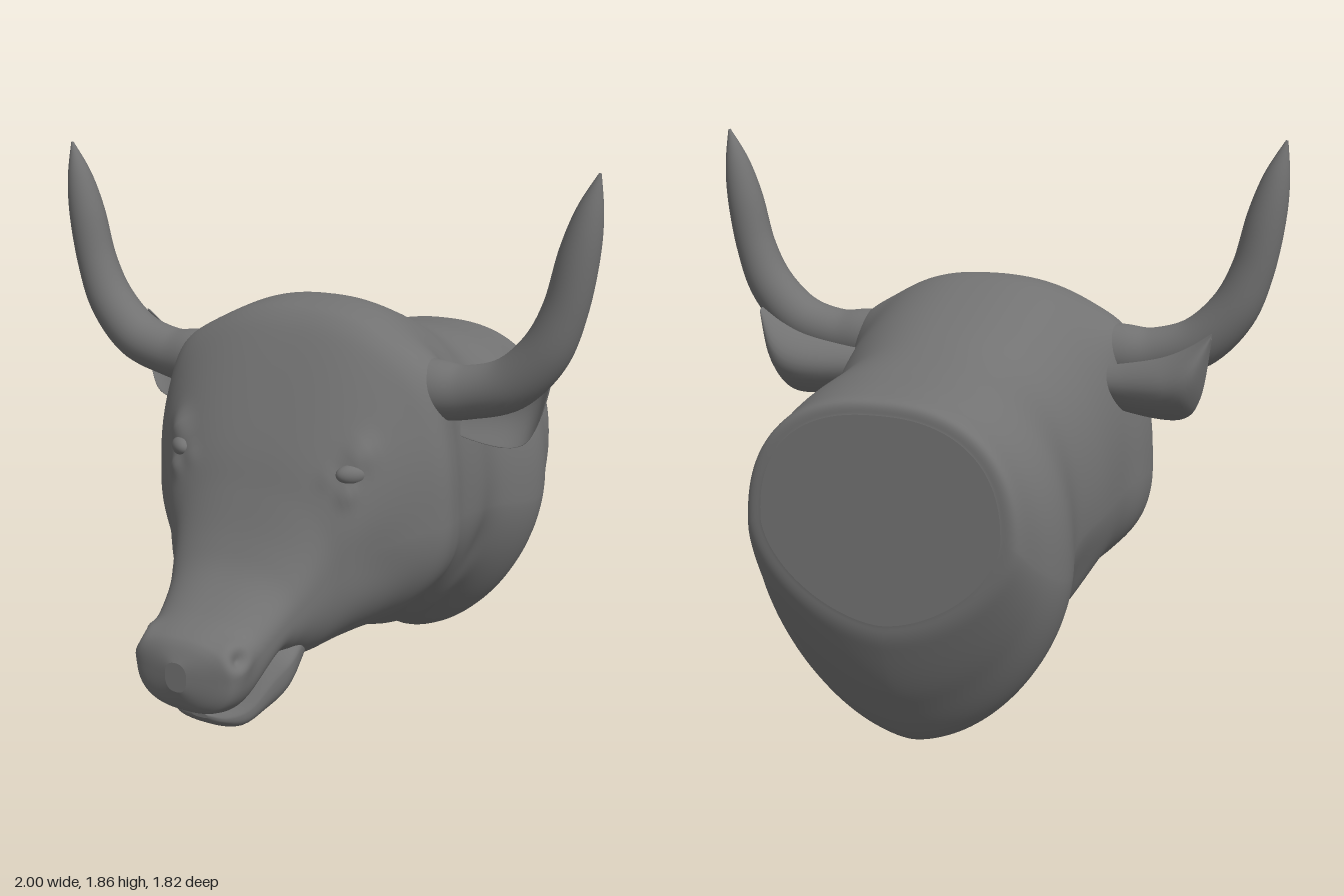
import * as THREE from 'three';

const material = new THREE.MeshStandardMaterial({ color: 0x727272 });

// Catmull-Rom blend of rows of numbers, returning a finer list of rows
function refine(rows, steps) {
  const out = [];
  const at = i => rows[Math.min(Math.max(i, 0), rows.length - 1)];
  for (let i = 0; i < rows.length - 1; i++) {
    for (let s = 0; s < steps; s++) {
      const t = s / steps;
      out.push(rows[i].map((b, k) => {
        const a = at(i - 1)[k], c = at(i + 1)[k], d = at(i + 2)[k];
        const m0 = (c - a) / 2, m1 = (d - b) / 2;
        return b + m0 * t + (3 * (c - b) - 2 * m0 - m1) * t * t + (2 * (b - c) + m0 + m1) * t * t * t;
      }));
    }
  }
  out.push(rows[rows.length - 1]);
  return out;
}

// Skin over closed rings (counterclockwise about the travel direction), with flat end caps
function loft(rings) {
  const n = rings[0].length, pos = [], index = [];
  rings.forEach(r => r.forEach(p => pos.push(p.x, p.y, p.z)));
  for (let i = 0; i < rings.length - 1; i++) {
    for (let j = 0; j < n; j++) {
      const a = i * n + j, b = i * n + (j + 1) % n;
      index.push(a, b, a + n, b, b + n, a + n);
    }
  }
  [rings[0], rings[rings.length - 1]].forEach((r, end) => {
    const start = pos.length / 3;
    const mid = r.reduce((s, p) => s.add(p), new THREE.Vector3()).divideScalar(n);
    [...r, mid].forEach(p => pos.push(p.x, p.y, p.z));
    for (let j = 0; j < n; j++) {
      const a = start + j, b = start + (j + 1) % n;
      index.push(start + n, end ? a : b, end ? b : a);
    }
  });
  const geo = new THREE.BufferGeometry();
  geo.setAttribute('position', new THREE.Float32BufferAttribute(pos, 3));
  geo.setIndex(index);
  geo.computeVertexNormals();
  return geo;
}

const mirrored = rings => rings.map(r => r.map(p => new THREE.Vector3(-p.x, p.y, p.z)).reverse());

// Section across z: squarer at the brow, tapering below the neck, full at the muzzle
function section([z, top, bottom, width, level], n) {
  const eTop = 2.4 + 0.6 * Math.exp(-(((z - 0.38) / 0.15) ** 2));
  const eBottom = 1.7 + 0.3 * THREE.MathUtils.smoothstep(z, -0.6, 0.2)
    + 0.5 * THREE.MathUtils.smoothstep(z, 0.35, 0.6);
  return Array.from({ length: n }, (_, j) => {
    const a = (j + 0.5) / n * Math.PI * 2, c = Math.cos(a), s = Math.sin(a);
    const e = 2 / (s > 0 ? eTop : eBottom);
    const h = s > 0 ? top - level : level - bottom;
    return new THREE.Vector3(
      width * Math.sign(c) * Math.abs(c) ** e, level + h * Math.sign(s) * Math.abs(s) ** e, z);
  });
}

// Push the surface in or out around symmetric points: x, y, z, radius, amount
function sculpt(geo, bumps) {
  const p = geo.attributes.position, nrm = geo.attributes.normal;
  for (let i = 0; i < p.count; i++) {
    const x = p.getX(i), y = p.getY(i), z = p.getZ(i);
    let d = 0;
    for (const [bx, by, bz, r, amount] of bumps) {
      const q = (Math.abs(x) - bx) ** 2 + (y - by) ** 2 + (z - bz) ** 2;
      d += amount * Math.exp(-q / (r * r));
    }
    p.setXYZ(i, x + d * nrm.getX(i), y + d * nrm.getY(i), z + d * nrm.getZ(i));
  }
  geo.computeVertexNormals();
  return geo;
}

export function createModel() {
  const group = new THREE.Group();
  const add = (name, geo) => {
    const mesh = new THREE.Mesh(geo, material);
    mesh.name = name;
    group.add(mesh);
    return mesh;
  };

  // Neck, skull and upper muzzle: z, top, bottom, half width, widest level
  const head = [
    [-0.912, 1.12, 0.48, 0.38, 0.78],
    [-0.895, 1.16, 0.4, 0.43, 0.75],
    [-0.8, 1.178, 0.19, 0.465, 0.67],
    [-0.64, 1.2, 0.005, 0.51, 0.6],
    [-0.4, 1.25, 0.115, 0.465, 0.63],
    [-0.18, 1.34, 0.16, 0.5, 0.68],
    [0, 1.4, 0.25, 0.52, 0.72],
    [0.12, 1.395, 0.28, 0.552, 0.74],
    [0.2, 1.36, 0.285, 0.555, 0.74],
    [0.28, 1.255, 0.285, 0.505, 0.73],
    [0.43, 0.99, 0.27, 0.37, 0.66],
    [0.5, 0.835, 0.285, 0.297, 0.58],
    [0.57, 0.695, 0.32, 0.255, 0.52],
    [0.64, 0.6, 0.33, 0.225, 0.47],
    [0.76, 0.515, 0.22, 0.197, 0.4],
    [0.85, 0.48, 0.225, 0.188, 0.37],
    [0.885, 0.455, 0.25, 0.15, 0.36],
    [0.912, 0.405, 0.31, 0.04, 0.36],
  ];
  const headGeo = loft(refine(head, 9).map(s => section(s, 160)));
  add('headAndNeck', sculpt(headGeo, [
    [0.35, 0.985, 0.4, 0.05, 0.025],    // brow
    [0.27, 0.92, 0.47, 0.035, 0.012],   // inner eye corner
    [0.335, 0.87, 0.45, 0.035, 0.018],  // lower lid
    [0.45, 1.19, 0.1, 0.12, 0.04],      // horn collar
    [0.47, 0.6, 0.12, 0.12, 0.012],     // jowl
    [0.4, 0.62, 0.38, 0.1, -0.01],      // hollow under the cheek
    [0.18, 0.435, 0.83, 0.055, 0.022],  // nostril rim
    [0.195, 0.435, 0.84, 0.03, -0.055], // nostril
    [0.46, 0.5, -0.25, 0.14, -0.02],    // throat groove
  ]));

  // Lower jaw, nearly closed against the muzzle
  const jaw = [
    [0.4, 0.4, 0.3, 0.17, 0.36],
    [0.52, 0.42, 0.235, 0.215, 0.36],
    [0.6, 0.39, 0.18, 0.225, 0.33],
    [0.66, 0.34, 0.15, 0.195, 0.28],
    [0.73, 0.24, 0.135, 0.15, 0.205],
    [0.775, 0.2, 0.16, 0.09, 0.183],
    [0.79, 0.193, 0.178, 0.03, 0.186],
  ];
  add('lowerJaw', loft(refine(jaw, 5).map(s => section(s, 64))));

  // Horn: centre x, y and radius along its sweep
  const horn = refine([
    [0.36, 1.15, 0.1], [0.47, 1.148, 0.098], [0.58, 1.155, 0.086], [0.72, 1.2, 0.086],
    [0.83, 1.31, 0.08], [0.892, 1.45, 0.07], [0.93, 1.62, 0.063],
    [0.958, 1.75, 0.042], [0.985, 1.863, 0.004],
  ], 8);
  const hornRings = horn.map(([x, y, r], i) => {
    const a = horn[Math.max(i - 1, 0)], b = horn[Math.min(i + 1, horn.length - 1)];
    const t = new THREE.Vector2(b[0] - a[0], b[1] - a[1]).normalize();
    return Array.from({ length: 32 }, (_, j) => {
      const u = j / 32 * Math.PI * 2, c = r * Math.cos(u);
      return new THREE.Vector3(x - t.y * c, y + t.x * c, 0.107 + r * Math.sin(u));
    });
  });

  // Ear: upper edge x, y, z, lower edge x, y, z and depth of the cupped back
  const ear = refine([
    [0.36, 1.12, -0.02, 0.38, 1.02, -0.01, 0.03],
    [0.5, 1.14, -0.03, 0.52, 0.97, 0, 0.055],
    [0.63, 1.17, -0.045, 0.69, 0.96, -0.005, 0.085],
    [0.72, 1.21, -0.05, 0.76, 1.04, -0.02, 0.075],
    [0.795, 1.26, -0.05, 0.798, 1.24, -0.055, 0.01],
  ], 8);
  const earRings = ear.map(([ux, uy, uz, lx, ly, lz, cup]) =>
    Array.from({ length: 32 }, (_, j) => {
      const a = j / 32 * Math.PI * 2, k = (1 - Math.cos(a)) / 2, s = Math.sin(a);
      const back = cup * s * s * (s > 0 ? 0.6 : 1);
      return new THREE.Vector3(
        ux + (lx - ux) * k, uy + (ly - uy) * k, uz + (lz - uz) * k - back + 0.006 * s);
    }));

  add('leftHorn', loft(hornRings));
  add('rightHorn', loft(mirrored(hornRings)));
  add('leftEar', loft(earRings));
  add('rightEar', loft(mirrored(earRings)));

  // Almond eyeballs, mostly sunk between the lids
  for (const [name, side] of [['leftEye', 1], ['rightEye', -1]]) {
    const eye = add(name, new THREE.SphereGeometry(0.04, 24, 16));
    eye.scale.set(1.3, 0.8, 0.8);
    eye.position.set(side * 0.325, 0.922, 0.405);
    eye.rotation.y = side * 0.75;
  }
  return group;
}
